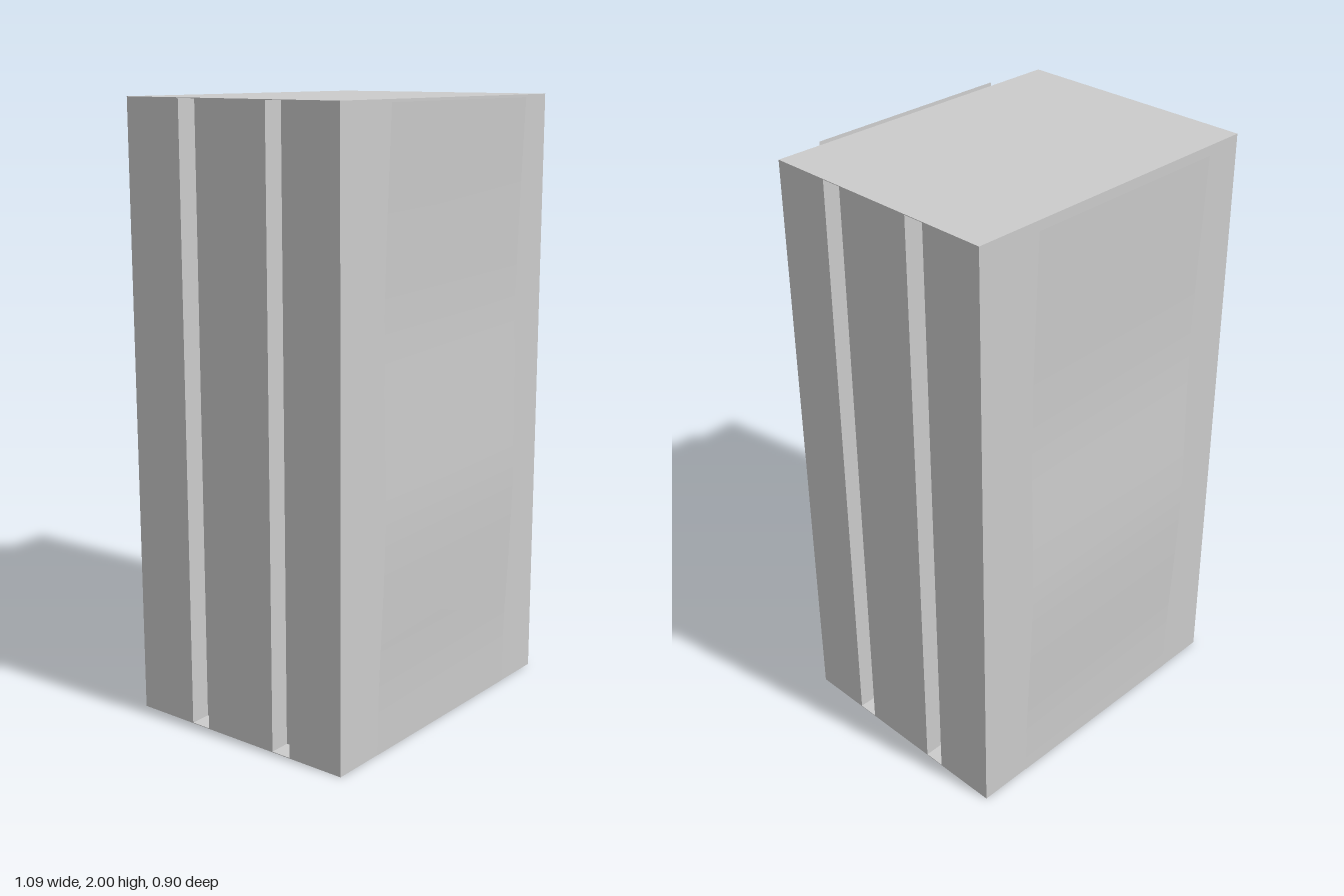
import * as THREE from 'three';

const W = 0.545, FRONT = 0.41, BACK = -0.415, H = 2, CAP = 0.002;
const GROOVES = [[-0.2, -0.13], [0.14, 0.21]]; // z ranges, same on both sides
const DEPTH = 0.07;

export function createModel() {
  const model = new THREE.Group();
  const grey = new THREE.MeshStandardMaterial({ color: 0xcccccc, flatShading: true });
  const sheet = new THREE.MeshStandardMaterial({ color: 0xcccccc, side: THREE.DoubleSide });

  const add = (name, geometry, material = grey) => {
    const mesh = new THREE.Mesh(geometry, material);
    mesh.name = name;
    model.add(mesh);
    return mesh;
  };

  // Body: plan outline with two vertical grooves in each side (shape y is -z)
  const side = [[W, BACK]];
  for (const [z0, z1] of GROOVES) {
    side.push([W, z0], [W - DEPTH, z0], [W - DEPTH, z1], [W, z1]);
  }
  side.push([W, FRONT]);
  const outline = [...side, ...side.map(([x, z]) => [-x, z]).reverse()];
  const shape = new THREE.Shape(outline.map(([x, z]) => new THREE.Vector2(x, -z)));
  const body = new THREE.ExtrudeGeometry(shape, { depth: H - 2 * CAP, bevelEnabled: false });
  body.rotateX(-Math.PI / 2).translate(0, CAP, 0);
  add('body', body);

  // Thin plates closing the grooves at the top and bottom
  for (const [name, y] of [['topPlate', H - CAP / 2], ['bottomPlate', CAP / 2]]) {
    const plate = new THREE.BoxGeometry(2 * W, CAP, FRONT - BACK);
    add(name, plate.translate(0, y, (FRONT + BACK) / 2));
  }

  // Gently waved sheets on the front and back, standing proud at the top
  const wave = new THREE.SplineCurve([
    [0, 0.411], [0.23, 0.415], [0.5, 0.428], [0.75, 0.436], [1.0, 0.433],
    [1.3, 0.427], [1.6, 0.433], [1.993, 0.448],
  ].map(([y, z]) => new THREE.Vector2(y, z)));
  const rows = 24;
  const points = wave.getPoints(rows);
  const panel = new THREE.PlaneGeometry(0.722, H, 1, rows);
  const pos = panel.attributes.position;
  for (let i = 0; i < pos.count; i++) {
    const p = points[rows - Math.floor(i / 2)];
    pos.setXYZ(i, pos.getX(i) + 0.002, p.x, p.y);
  }
  panel.computeVertexNormals();
  add('frontPanel', panel, sheet);
  const backPanel = add('backPanel', panel, sheet);
  backPanel.rotation.y = Math.PI;
  backPanel.position.z = FRONT + BACK;

  return model;
}
